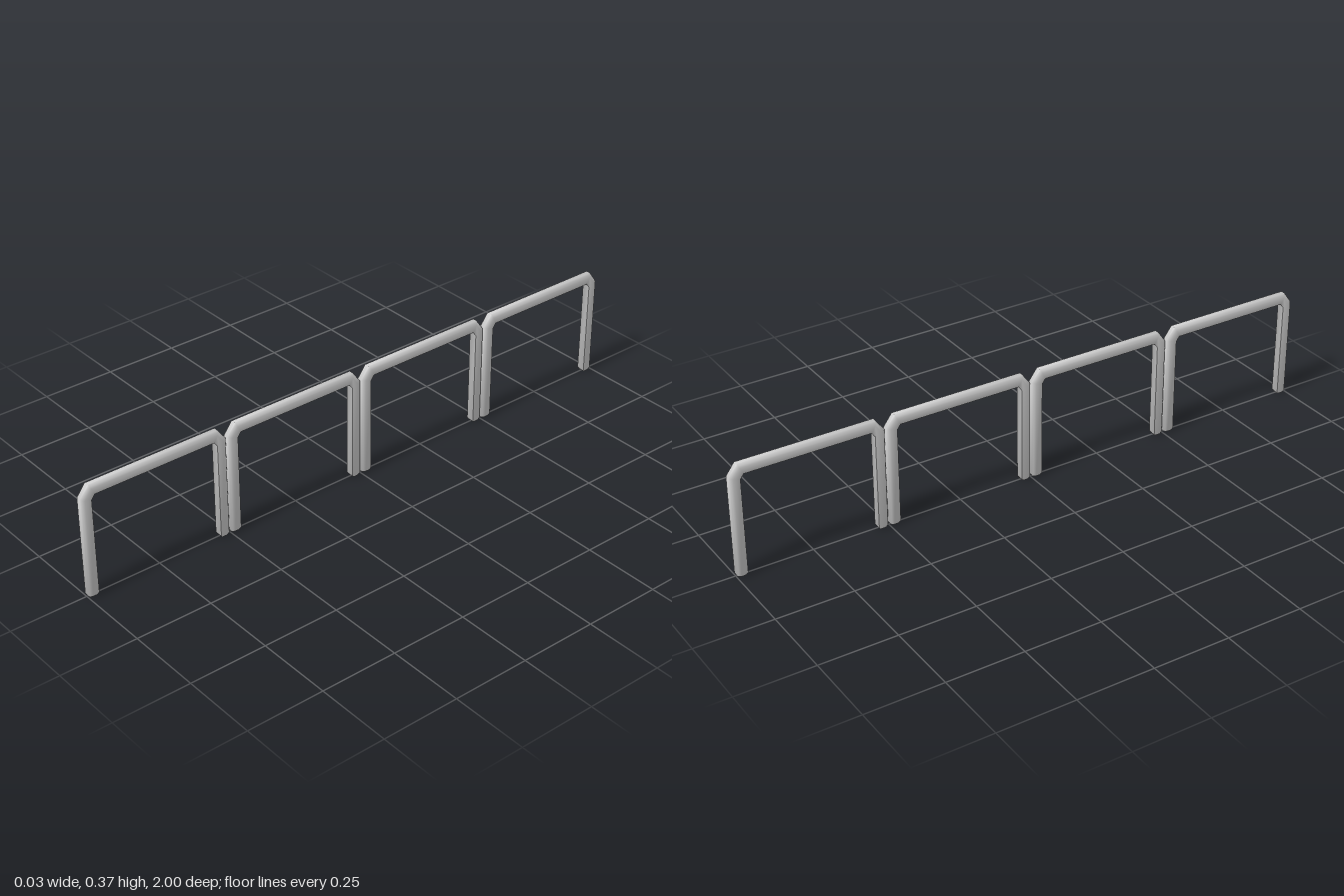
import * as THREE from 'three';
import { toCreasedNormals } from 'three/addons/utils/BufferGeometryUtils.js';

const HALF = 0.232, TOP = 0.353;

// Section as [outward, x]: rounded outside, flat inside with small chamfers
const side = [[0.016, 0.007], [0.0115, 0.0125], [0.004, 0.0155], [-0.0145, 0.0155], [-0.018, 0.0135]];
const section = [...side, ...side.map(([n, x]) => [n, -x]).reverse()];
const SIDES = section.length;

// Sweep the section along a path in the yz plane, mitring each bend.
// Each path point is [z, y, scale].
function sweep(path) {
  const pos = [], index = [];
  const dir = (a, b) => new THREE.Vector2(b[0] - a[0], b[1] - a[1]).normalize();
  path.forEach((p, i) => {
    // end sections stay horizontal
    const a = i > 0 ? dir(path[i - 1], p) : dir(p, path[i + 1]);
    const b = i < path.length - 1 ? dir(p, path[i + 1]) : a;
    // caps have no length along the path, so use the leg direction there
    const up = i < 3 ? 1 : i >= path.length - 3 ? -1 : 0;
    const t = up ? new THREE.Vector2(0, up) : a.clone().add(b).normalize();
    const stretch = up ? 1 : 1 / t.dot(a);
    for (const [n, x] of section) {
      const out = n * p[2] * stretch;
      pos.push(x * p[2], p[1] - t.x * out, p[0] + t.y * out);
    }
  });
  for (let i = 0; i < path.length - 1; i++) {
    for (let j = 0; j < SIDES; j++) {
      const a = i * SIDES + j, b = i * SIDES + (j + 1) % SIDES;
      index.push(a, b, b + SIDES, a, b + SIDES, a + SIDES);
    }
  }
  const g = new THREE.BufferGeometry();
  g.setAttribute('position', new THREE.Float32BufferAttribute(pos, 3));
  g.setIndex(index);
  return toCreasedNormals(g, THREE.MathUtils.degToRad(55));
}

export function createModel() {
  const group = new THREE.Group();
  group.name = 'barrierRow';
  const material = new THREE.MeshStandardMaterial({ color: 0xcccccc });

  // Half of a hoop: flat foot, small bevel, leg, chamfered corner
  const half = [
    [HALF, 0, 0],
    [HALF, 0, 0.75],
    [HALF, 0.007, 1],
    [HALF, TOP - 0.027, 1],
    [HALF - 0.02, TOP, 1],
  ];
  const mirrored = half.map(([z, y, s]) => [-z, y, s]).reverse();
  const geometry = sweep([...half, ...mirrored]);

  // Four identical hoops end to end
  for (let i = 0; i < 4; i++) {
    const hoop = new THREE.Mesh(geometry, material);
    hoop.name = 'hoop' + (i + 1);
    hoop.position.z = (1.5 - i) * 0.5013;
    group.add(hoop);
  }
  return group;
}
